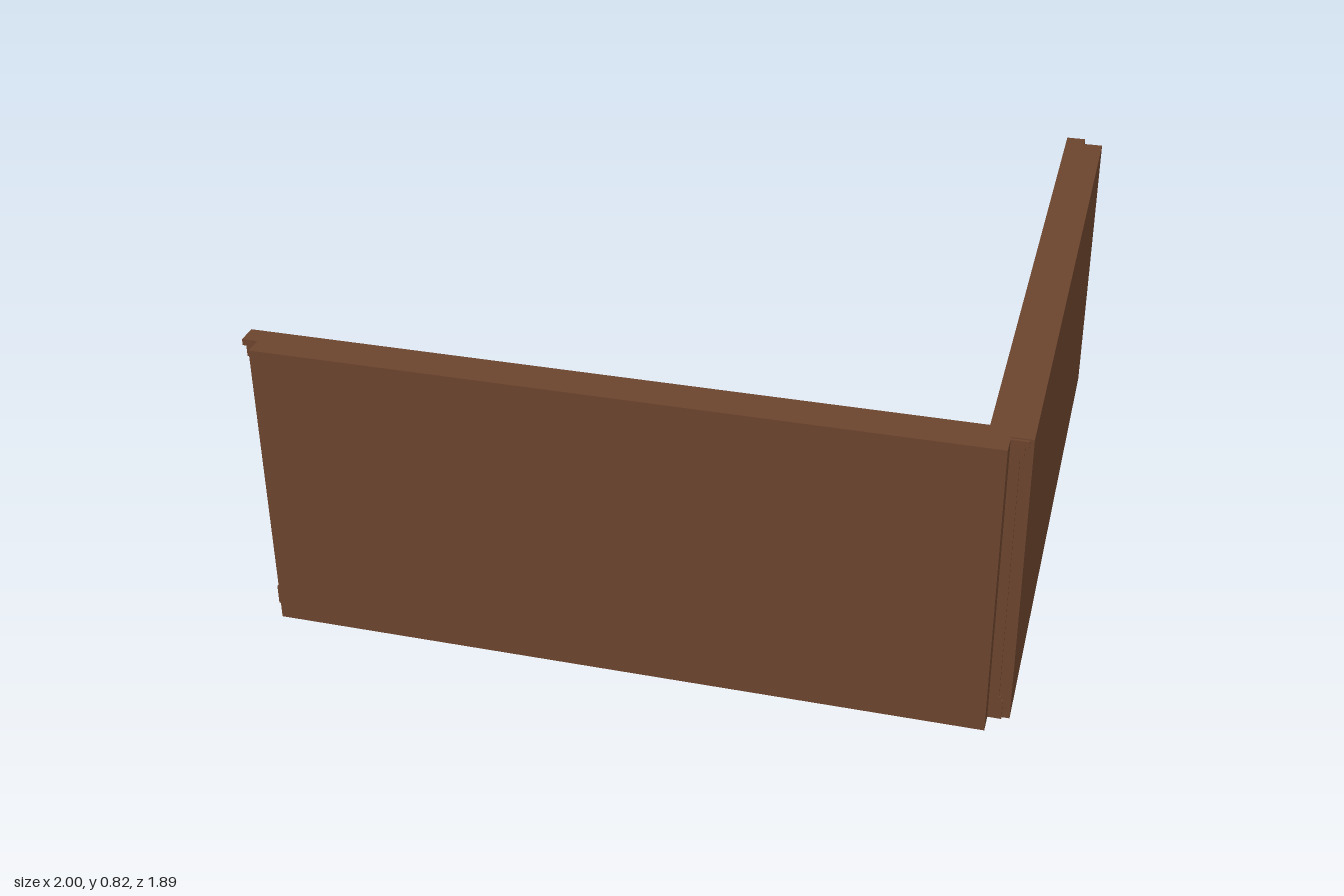
import * as THREE from 'three';

const H = 0.82;      // wall height
const SLAB = 0.055;  // slab thickness

export function createModel() {
  const wood = new THREE.MeshStandardMaterial({ color: 0x6b432d });
  wood.name = 'brownWood';

  // box given by its x range, y range and z range
  function box(parent, name, [x0, x1], [y0, y1], [z0, z1]) {
    const mesh = new THREE.Mesh(new THREE.BoxGeometry(x1 - x0, y1 - y0, z1 - z0), wood);
    mesh.position.set((x0 + x1) / 2, (y0 + y1) / 2, (z0 + z1) / 2);
    mesh.name = name;
    parent.add(mesh);
  }

  // horizontal moulding that also returns around both slab ends
  function moulding(parent, name, half, overhang, y, depth) {
    box(parent, name, [-half - overhang, half + overhang], y, [-depth, 0]);
  }

  // two-step vertical strips dividing a row into equal panels
  function battens(parent, name, from, to, count, [y0, y1]) {
    for (let i = 0; i <= count; i++) {
      const x = from + (to - from) * i / count;
      box(parent, name + 'Base', [x - 0.018, x + 0.018], [y0, y1], [-0.022, 0]);
      box(parent, name, [x - 0.009, x + 0.009], [y0, y1], [-0.03, 0]);
    }
  }

  // panelled wall: plain face to +z, panelling to -z
  function wall(name, length, from, to, upperCount, lowerCount) {
    const g = new THREE.Group();
    g.name = name;
    const half = length / 2;
    box(g, 'slab', [-half, half], [0, H], [0, SLAB]);
    box(g, 'panelBacking', [-half, half], [0, H - 0.01], [-0.014, 0]);

    // end posts with plinths
    for (const s of [-1, 1]) {
      const span = (a, b) => [Math.min(s * a, s * b), Math.max(s * a, s * b)];
      box(g, 'endPost', span(half - 0.02, half + 0.025), [0, H - 0.02], [-0.036, 0]);
      box(g, 'plinth', span(half - 0.025, half + 0.035), [0, 0.055], [-0.048, 0]);
      box(g, 'plinthStep', span(half - 0.022, half + 0.03), [0.055, 0.068], [-0.042, 0]);
    }

    // baseboard
    box(g, 'baseboard', [-half, half], [0, 0.055], [-0.043, 0]);
    box(g, 'baseboardStep', [-half, half], [0.055, 0.072], [-0.034, 0]);

    // chair rail between the two rows of panels
    box(g, 'chairRailLower', [-half, half], [0.19, 0.215], [-0.028, 0]);
    box(g, 'chairRail', [-half, half], [0.215, 0.238], [-0.043, 0]);
    box(g, 'chairRailUpper', [-half, half], [0.238, 0.26], [-0.028, 0]);

    // crown
    box(g, 'topRail', [-half, half], [0.745, 0.77], [-0.026, 0]);
    moulding(g, 'crownLower', half, 0.035, [0.77, 0.8], 0.045);
    moulding(g, 'crown', half, 0.045, [0.8, 0.817], SLAB);

    battens(g, 'upperBatten', from, to, upperCount, [0.26, 0.75]);
    battens(g, 'lowerBatten', from, to, lowerCount, [0.07, 0.19]);
    return g;
  }

  const model = new THREE.Group();
  model.name = 'panelledCorner';

  const front = wall('frontWall', 1.9, -0.935, 0.885, 7, 9);
  front.position.set(-0.005, 0, 0.89);
  model.add(front);

  const side = wall('sideWall', 1.785, -0.83, 0.875, 7, 8);
  side.rotation.y = Math.PI / 2;
  side.position.set(0.945, 0, -0.01);
  model.add(side);

  return model;
}
